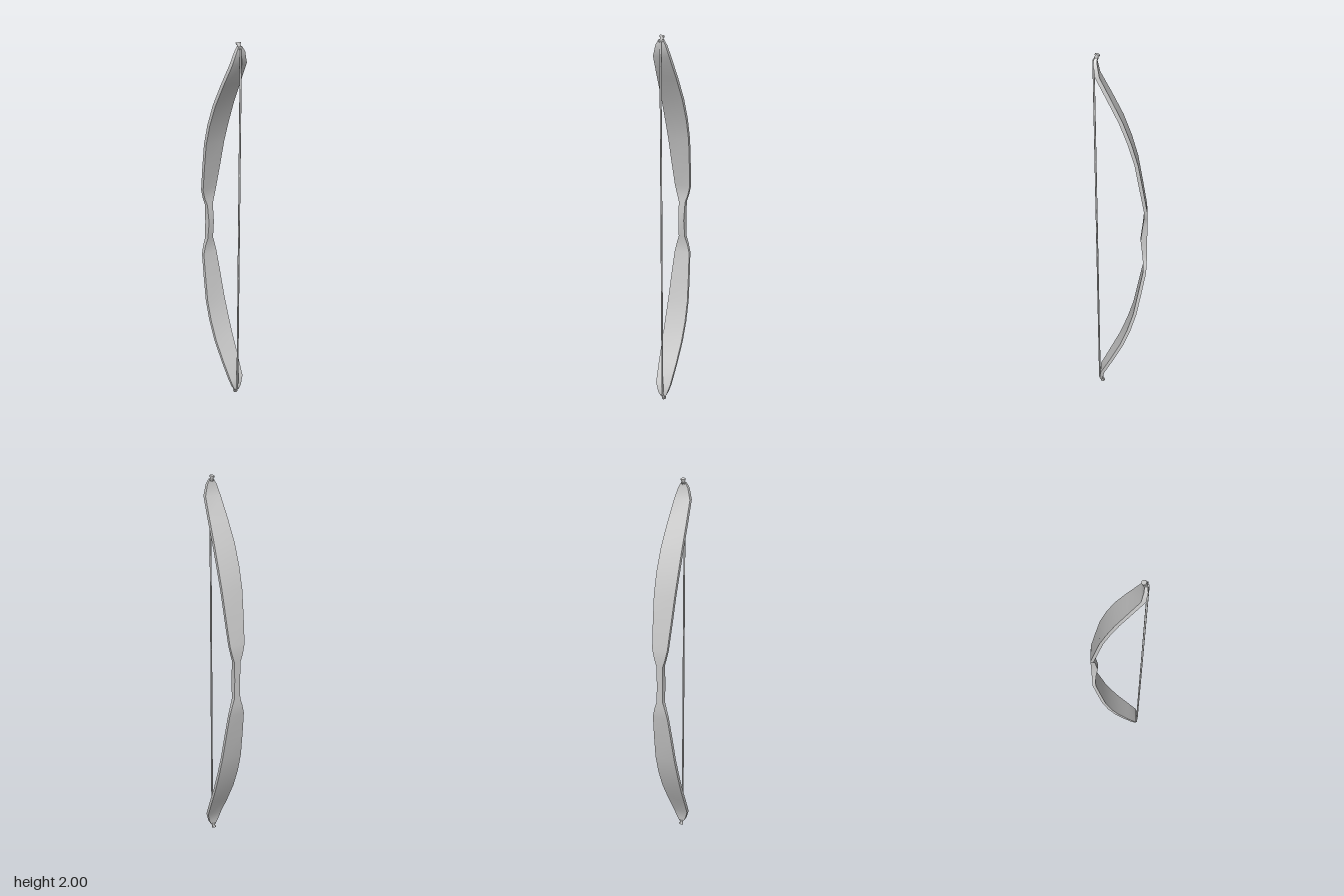
import * as THREE from 'three';

const material = new THREE.MeshStandardMaterial({ color: 0xcccccc, side: THREE.DoubleSide });

// Half of the bow from grip to tip: [height above the grip, back x, belly x, half width]
const half = [
  [0, -0.135, -0.101, 0.016],
  [0.1, -0.135, -0.112, 0.018],
  [0.14, -0.135, -0.116, 0.031],
  [0.19, -0.132, -0.115, 0.043],
  [0.32, -0.109, -0.091, 0.051],
  [0.46, -0.083, -0.065, 0.058],
  [0.57, -0.051, -0.032, 0.06],
  [0.68, -0.01, 0.01, 0.058],
  [0.79, 0.043, 0.064, 0.052],
  [0.9, 0.099, 0.12, 0.043],
  [0.955, 0.109, 0.127, 0.026],
  [0.98, 0.111, 0.124, 0.011],
];

// Four separate strips keep the long edges sharp while the faces stay smooth
function staveGeometry() {
  const stations = [
    ...half.slice(1).reverse().map(([h, a, b, w]) => [1 - h, a, b, w]),
    ...half.map(([h, a, b, w]) => [1 + h, a, b, w]),
  ];
  const rings = stations.map(([y, a, b, w]) => [[a, y, w], [b, y, w], [b, y, -w], [a, y, -w]]);
  const positions = [], index = [];
  for (let side = 0; side < 4; side++) {
    const start = positions.length / 3;
    rings.forEach((ring, i) => {
      positions.push(...ring[side], ...ring[(side + 1) % 4]);
      if (i === 0) return;
      const k = start + 2 * (i - 1);
      index.push(k, k + 1, k + 3, k, k + 3, k + 2);
    });
  }
  // End caps
  [[rings[0], true], [rings[rings.length - 1], false]].forEach(([ring, down]) => {
    const k = positions.length / 3;
    ring.forEach((p) => positions.push(...p));
    index.push(...(down ? [k, k + 2, k + 1, k, k + 3, k + 2] : [k, k + 1, k + 2, k, k + 2, k + 3]));
  });
  const geometry = new THREE.BufferGeometry();
  geometry.setAttribute('position', new THREE.Float32BufferAttribute(positions, 3));
  geometry.setIndex(index);
  geometry.computeVertexNormals();
  return geometry;
}

export function createModel() {
  const group = new THREE.Group();
  const add = (name, geometry, x, y, tilt = 0) => {
    const mesh = new THREE.Mesh(geometry, material);
    mesh.name = name;
    mesh.position.set(x, y, 0);
    mesh.rotation.z = tilt;
    group.add(mesh);
  };

  add('stave', staveGeometry(), 0, 0);
  add('string', new THREE.CylinderGeometry(0.005, 0.005, 1.94, 8), 0.127, 1);

  // Nock and string loop at each tip
  for (const s of [1, -1]) {
    const end = s > 0 ? 'upper' : 'lower';
    add(end + 'Nock', new THREE.CylinderGeometry(0.009, 0.009, 0.032, 8), 0.113, 1 + s * 0.982, s * 0.3);
    const loop = new THREE.TorusGeometry(0.0105, 0.004, 6, 10).rotateX(Math.PI / 2);
    add(end + 'StringLoop', loop, 0.117, 1 + s * 0.973, -s * 0.35);
    add(end + 'NockKnob', new THREE.CylinderGeometry(0.012, 0.012, 0.008, 8), 0.109, 1 + s * 0.9935, s * 0.3);
  }
  return group;
}
